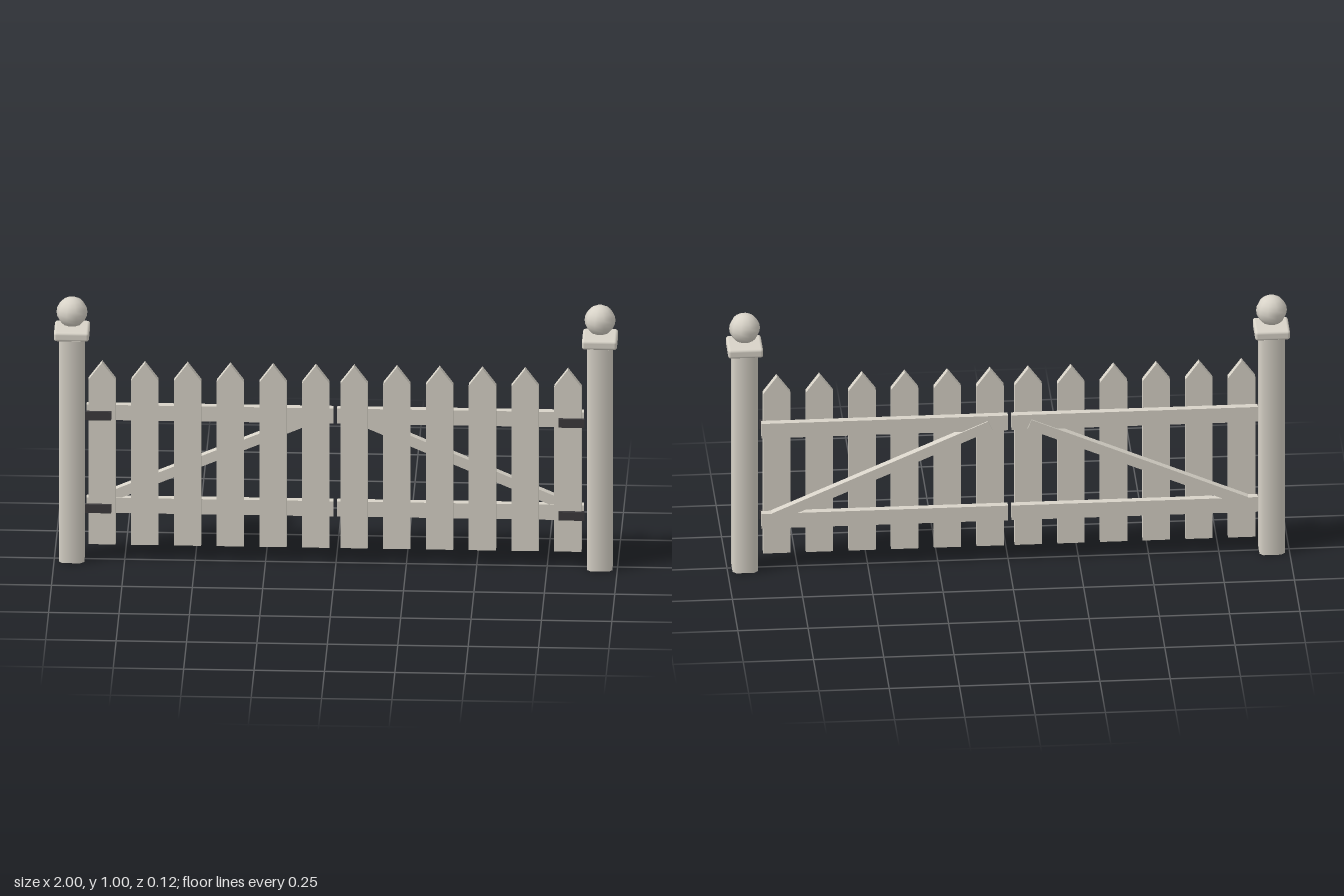
import * as THREE from 'three';
import { RoundedBoxGeometry } from 'three/addons/geometries/RoundedBoxGeometry.js';

const wood = new THREE.MeshStandardMaterial({ color: 0xd8d3c8 });
wood.name = 'paintedWood';
const iron = new THREE.MeshStandardMaterial({ color: 0x3c3a3c });
iron.name = 'darkIron';

function add(parent, name, geometry, material, x = 0, y = 0, z = 0) {
  const mesh = new THREE.Mesh(geometry, material);
  mesh.name = name;
  mesh.position.set(x, y, z);
  parent.add(mesh);
  return mesh;
}

// Box given by its limits on each axis
function addBox(parent, name, material, [x0, x1], [y0, y1], [z0, z1]) {
  const box = new THREE.BoxGeometry(x1 - x0, y1 - y0, z1 - z0);
  return add(parent, name, box, material, (x0 + x1) / 2, (y0 + y1) / 2, (z0 + z1) / 2);
}

function extrude(points, depth) {
  const shape = new THREE.Shape(points.map(([x, y]) => new THREE.Vector2(x, y)));
  return new THREE.ExtrudeGeometry(shape, { depth, bevelEnabled: false });
}

// Square post with softened corners, a slab cap and a ball finial
function createPost() {
  const post = new THREE.Group();
  post.name = 'gatePost';
  const h = 0.045, c = h - 0.0135;
  const outline = [[h, -c], [h, c], [c, h], [-c, h], [-h, c], [-h, -c], [-c, -h], [c, -h]];
  const shaft = extrude(outline, 0.852).rotateX(-Math.PI / 2);
  // Smooth the shaft sides, keep the ends flat
  const p = shaft.attributes.position, n = shaft.attributes.normal;
  for (let i = 0; i < p.count; i++) {
    if (Math.abs(n.getY(i)) > 0.5) continue;
    const x = p.getX(i), z = p.getZ(i);
    const nx = Math.sign(x) * (Math.abs(x) > c + 0.001 ? 0.924 : 0.383);
    const nz = Math.sign(z) * (Math.abs(z) > c + 0.001 ? 0.924 : 0.383);
    n.setXYZ(i, nx, 0, nz);
  }
  add(post, 'postShaft', shaft, wood);
  add(post, 'postCap', new RoundedBoxGeometry(0.125, 0.035, 0.125, 2, 0.01), wood, 0, 0.8745, 0);

  // Ball with its underside cut flat
  add(post, 'ballFinial', new THREE.SphereGeometry(0.055, 10, 8, 0, Math.PI * 2, 0, Math.PI * 0.8), wood, 0, 0.949, 0);
  const base = new THREE.CircleGeometry(0.0323, 10).rotateX(Math.PI / 2);
  add(post, 'ballBase', base, wood, 0, 0.9045, 0);
  return post;
}

// One gate leaf reaching from the middle out to side * x
function createLeaf(side) {
  const leaf = new THREE.Group();
  leaf.name = side > 0 ? 'leftLeaf' : 'rightLeaf';
  const span = (a, b) => (side > 0 ? [a, b] : [-b, -a]);

  // Pointed pickets
  const w = 0.0485;
  const picket = extrude([[-w, 0.06], [w, 0.06], [w, 0.692], [0, 0.758], [-w, 0.692]], 0.025);
  for (let i = 0; i < 6; i++) {
    add(leaf, 'picket', picket, wood, side * (0.068 + i * 0.1518), 0, -0.015);
  }

  // Rails and hinge straps
  for (const y of [0.2, 0.557]) {
    addBox(leaf, 'rail', wood, span(0.0065, 0.883), [y - 0.029, y + 0.029], [-0.04, -0.015]);
    addBox(leaf, 'hingeStrap', iron, span(0.794, 0.886), [y - 0.016, y + 0.016], [0.008, 0.021]);
  }

  // Diagonal brace, low at the hinge side
  const dx = 0.77, dy = 0.335;
  const brace = add(leaf, 'brace', new THREE.BoxGeometry(Math.hypot(dx, dy), 0.038, 0.028),
    wood, side * 0.455, 0.3825, -0.031);
  brace.rotation.z = -side * Math.atan2(dy, dx);
  return leaf;
}

export function createModel() {
  const model = new THREE.Group();
  model.name = 'picketGate';
  const gate = new THREE.Group();
  gate.name = 'gate';
  gate.position.x = -0.0035;
  for (const side of [-1, 1]) {
    const post = createPost();
    post.position.x = side * 0.9375;
    model.add(post);
    gate.add(createLeaf(side));
  }
  model.add(gate);
  return model;
}
